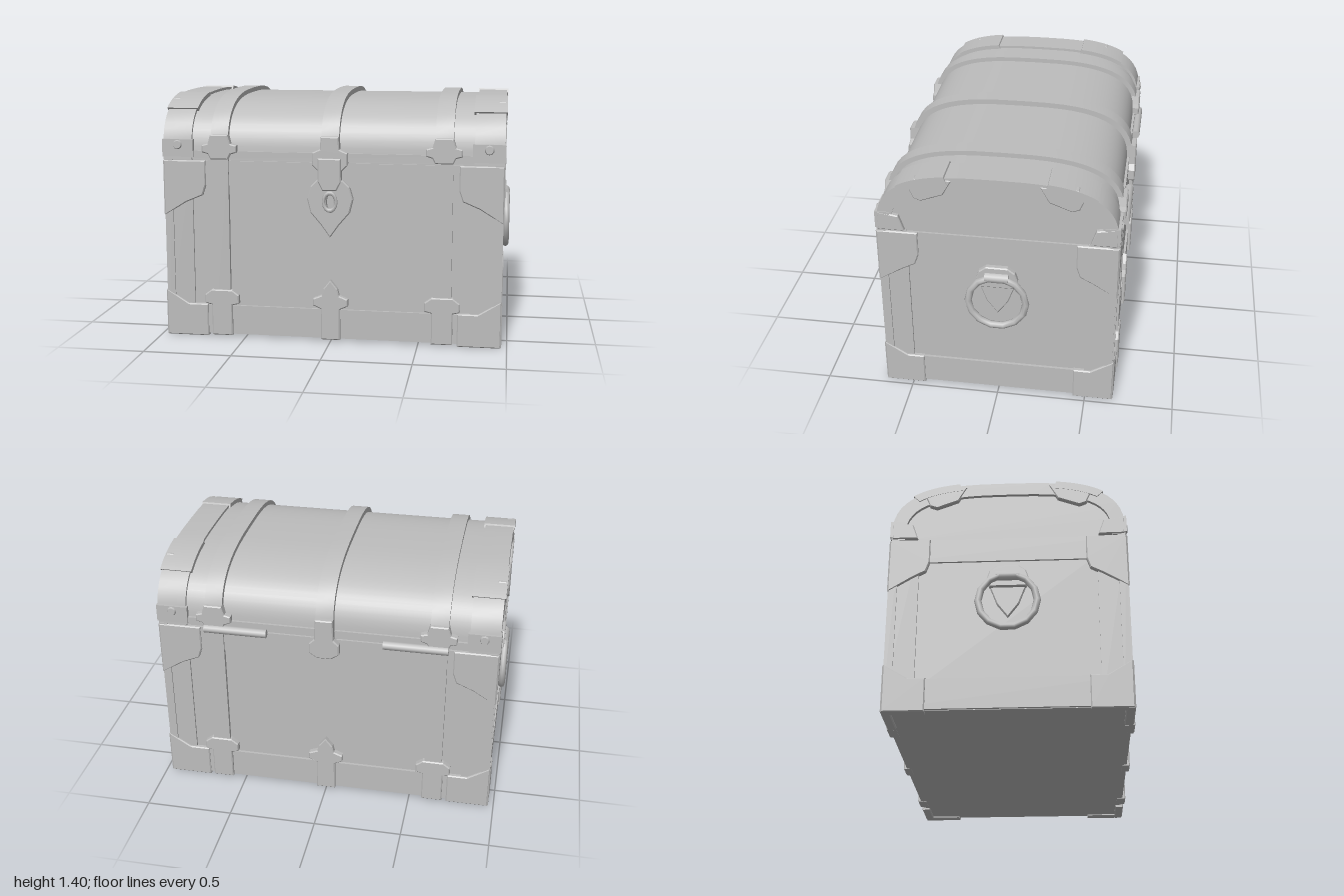
import * as THREE from 'three';
import { toCreasedNormals } from 'three/addons/utils/BufferGeometryUtils.js';

const grey = new THREE.MeshStandardMaterial({ color: 0xbdbdbd });
grey.name = 'plain grey';

const HX = 0.945, HZ = 0.635, SEAM = 1.035; // inner body half sizes and lid seam height

function add(parent, name, geometry, x = 0, y = 0, z = 0) {
  const mesh = new THREE.Mesh(geometry, grey);
  mesh.name = name;
  mesh.position.set(x, y, z);
  parent.add(mesh);
  return mesh;
}

function box(parent, name, x0, x1, y0, y1, z0, z1) {
  return add(parent, name, new THREE.BoxGeometry(x1 - x0, y1 - y0, z1 - z0),
    (x0 + x1) / 2, (y0 + y1) / 2, (z0 + z1) / 2);
}

// Arched lid cross-section (z, y) grown outwards by o, over the angles a0..a1
function arch(o, a0 = 0, a1 = Math.PI, n = 28) {
  return Array.from({ length: n + 1 }, (_, i) => {
    const a = a0 + (a1 - a0) * i / n, c = Math.cos(a), s = Math.max(0, Math.sin(a));
    const z = Math.sign(c) * Math.abs(c) ** (2 / 3) * (HZ + o);
    return new THREE.Vector2(z, SEAM + s ** (2 / 3) * (0.34 + o));
  });
}

// Extrude a (z, y) outline along x
function alongX(points, x0, x1) {
  const g = new THREE.ExtrudeGeometry(new THREE.Shape(points), { depth: x1 - x0, bevelEnabled: false });
  g.rotateY(Math.PI / 2).translate(x0, 0, 0);
  return toCreasedNormals(g, 0.6);
}

// Curved band lying over the lid
function band(parent, name, x0, x1, o, inner, a0, a1) {
  add(parent, name, alongX([...arch(o, a0, a1), ...arch(inner, a0, a1).reverse()], x0, x1));
}

// Flat plate on a face; outline [x, y], standing from z0 to z1
function plate(parent, name, outline, z0, z1, hole) {
  const shape = new THREE.Shape(outline.map(([x, y]) => new THREE.Vector2(x, y)));
  if (hole) shape.holes.push(hole);
  const bevel = 0.006;
  const g = new THREE.ExtrudeGeometry(shape, {
    depth: z1 - z0 - bevel, bevelThickness: bevel, bevelSize: bevel, bevelOffset: -bevel, bevelSegments: 1 });
  return add(parent, name, g, 0, 0, z0);
}

// Mirror the right half of an outline about x = 0, then shift it to cx
const symmetric = (half, cx = 0) => [
  ...half.map(([x, y]) => [cx + x, y]),
  ...half.filter(([x]) => x > 0).reverse().map(([x, y]) => [cx - x, y])];

const footTip = [[0.055, 0.01], [0.055, 0.19], [0.1, 0.21], [0.1, 0.25], [0.05, 0.27], [0.04, 0.31], [0, 0.36]];
const sideTip = [[0.06, 0.01], [0.06, 0.19], [0.1, 0.2], [0.1, 0.25], [0.06, 0.28]];
const rimLobe = [[0.05, 1.04], [0.065, 1.07], [0.1, 1.08], [0.1, 1.12], [0.065, 1.13], [0.05, 1.18]];

// Frame and corner plates shared by every face (w = half width, d = distance of face)
function faceFrame(face, w, d, inner, panel) {
  for (const s of [-1, 1]) {
    const m = pts => { const p = pts.map(([x, y]) => [s * x, y]); return s < 0 ? p.reverse() : p; };
    plate(face, 'lowerCornerPlate', m([[inner, 0], [w, 0], [w, 0.27], [w - 0.13, 0.19], [inner, 0.19]]), d - 0.02, d + 0.025);
    plate(face, 'upperCornerPlate', m([[w, 0.71], [w, 1.03], [inner, 1.03], [inner, 0.89], [inner + 0.02, 0.83],
      [w - 0.13, 0.79]]), d - 0.02, d + 0.024);
    const a = Math.min(s * panel, s * w), b = Math.max(s * panel, s * w);
    box(face, 'cornerPost', a, b, 0.02, SEAM, d - 0.03, d + 0.012);
  }
  box(face, 'baseRail', -w, w, 0.015, 0.185, d - 0.03, d + 0.015);
  box(face, 'topRail', -w, w, 0.89, SEAM - 0.005, d - 0.03, d + 0.012);
}

// Iron straps on the front or back
function longFace(chest, name, turn) {
  const face = new THREE.Group();
  face.name = name;
  face.rotation.y = turn;
  chest.add(face);
  faceFrame(face, 0.965, HZ, 0.72, 0.8);
  for (const x of [-0.635, 0.635]) {
    box(face, 'strap', x - 0.05, x + 0.05, 0.01, SEAM, HZ - 0.02, HZ + 0.024);
    plate(face, 'strapFoot', symmetric(sideTip, x), HZ, HZ + 0.034);
    plate(face, 'strapBuckle', symmetric(rimLobe, x), HZ - 0.03, HZ + 0.036);
  }
  plate(face, 'centreFoot', symmetric(footTip), HZ - 0.01, HZ + 0.034);
  for (const s of [-1, 1]) {
    box(face, 'lidCornerPlate', s * 0.88 - 0.09, s * 0.88 + 0.09, 1.05, 1.15, HZ - 0.06, HZ + 0.022);
    const rivet = add(face, 'rivet', new THREE.CylinderGeometry(0.022, 0.028, 0.012, 10), s * 0.88, 1.12, HZ + 0.026);
    rivet.rotation.x = Math.PI / 2;
  }
  return face;
}

// Chest end with ring handle
function endFace(chest, name, turn) {
  const face = new THREE.Group();
  face.name = name;
  face.rotation.y = turn;
  chest.add(face);
  faceFrame(face, 0.655, HX, 0.43, 0.49);
  for (const s of [-1, 1]) {
    const p = [[0.44, 1.25], [0.47, 1.32], [0.43, 1.365], [0.23, 1.37], [0.28, 1.28], [0.4, 1.235]];
    plate(face, 'lidEndPlate', p.map(([x, y]) => [s * x, y]), HX - 0.02, HX + 0.025);
    plate(face, 'lidEndCorner', [[0.5, 1.04], [0.645, 1.04], [0.645, 1.15], [0.53, 1.13]].map(([x, y]) => [s * x, y]),
      HX - 0.02, HX + 0.026);
  }
  const handle = new THREE.Group();
  handle.name = 'handle';
  face.add(handle);
  plate(handle, 'handleMount', symmetric([[0.1, 0.72], [0.115, 0.77], [0.1, 0.82], [0.06, 0.85], [0, 0.85]]), HX - 0.01, HX + 0.03);
  plate(handle, 'handleTongue', symmetric([[0, 0.54], [0.06, 0.62], [0.1, 0.73]]), HX - 0.01, HX + 0.014);
  const loop = add(handle, 'handleLoop', new THREE.CylinderGeometry(0.032, 0.032, 0.13, 10), 0, 0.785, HX + 0.022);
  loop.rotation.z = Math.PI / 2;
  add(handle, 'handleRing', new THREE.TorusGeometry(0.16, 0.02, 8, 14), 0, 0.63, HX + 0.033);
}

export function createModel() {
  const chest = new THREE.Group();
  chest.name = 'treasureChest';

  // Main body and arched lid
  box(chest, 'body', -HX, HX, 0.012, SEAM, -HZ, HZ);
  add(chest, 'lid', alongX(arch(0), -HX, HX));
  for (const s of [-1, 1]) {
    box(chest, 'lidRim', -0.95, 0.95, SEAM + 0.005, 1.085, s * 0.632 - 0.015, s * 0.632 + 0.015);
    const span = (a, b) => s > 0 ? [a, b] : [-b, -a];
    band(chest, 'lidEndBand', ...span(0.8, 0.965), 0.015, -0.06);
    band(chest, 'lidStrap', ...span(0.585, 0.685), 0.026, -0.03);
    // Bent corner plates over the lid's shoulders
    for (const [a0, a1] of [[0.75, 1.3], [Math.PI - 1.3, Math.PI - 0.75]])
      band(chest, 'lidShoulderPlate', ...span(0.79, 0.972), 0.024, -0.02, a0, a1);
  }
  band(chest, 'centreLidStrap', -0.05, 0.05, 0.03, -0.03);

  const front = longFace(chest, 'front', 0);
  const back = longFace(chest, 'back', Math.PI);
  endFace(chest, 'leftEnd', Math.PI / 2);
  endFace(chest, 'rightEnd', -Math.PI / 2);

  // Lock: hasp, neck and heart-shaped keyhole plate
  const lock = new THREE.Group();
  lock.name = 'lock';
  front.add(lock);
  plate(lock, 'haspPlate', symmetric([[0.07, 0.99], [0.1, 1.02], [0.1, 1.09], [0.055, 1.11], [0.05, 1.18]]), HZ - 0.03, HZ + 0.045);
  plate(lock, 'haspTongue', symmetric([[0.04, 0.88], [0.065, 0.93], [0.065, 1.06]]), HZ, HZ + 0.06);
  const keyhole = new THREE.Path().absellipse(0, 0.81, 0.022, 0.045, 0, Math.PI * 2, true);
  plate(lock, 'heartPlate', symmetric([[0, 0.61], [0.05, 0.68], [0.11, 0.75], [0.13, 0.83], [0.11, 0.9], [0.07, 0.94], [0, 0.91]]),
    HZ - 0.01, HZ + 0.04, keyhole);
  add(lock, 'keyholeRim', new THREE.TorusGeometry(0.036, 0.009, 6, 14), 0, 0.815, HZ + 0.04).scale.y = 1.4;

  // Hinges behind
  plate(back, 'centreHinge', symmetric([[0.04, 0.92], [0.085, 0.95], [0.085, 1.01], [0.055, 1.04], [0.05, 1.16]]), HZ - 0.03, HZ + 0.05);
  for (const x of [-0.51, 0.51]) {
    const rod = add(back, 'hingeRod', new THREE.CylinderGeometry(0.025, 0.025, 0.36, 10), x, 1.035, HZ + 0.03);
    rod.rotation.z = Math.PI / 2;
  }
  return chest;
}
